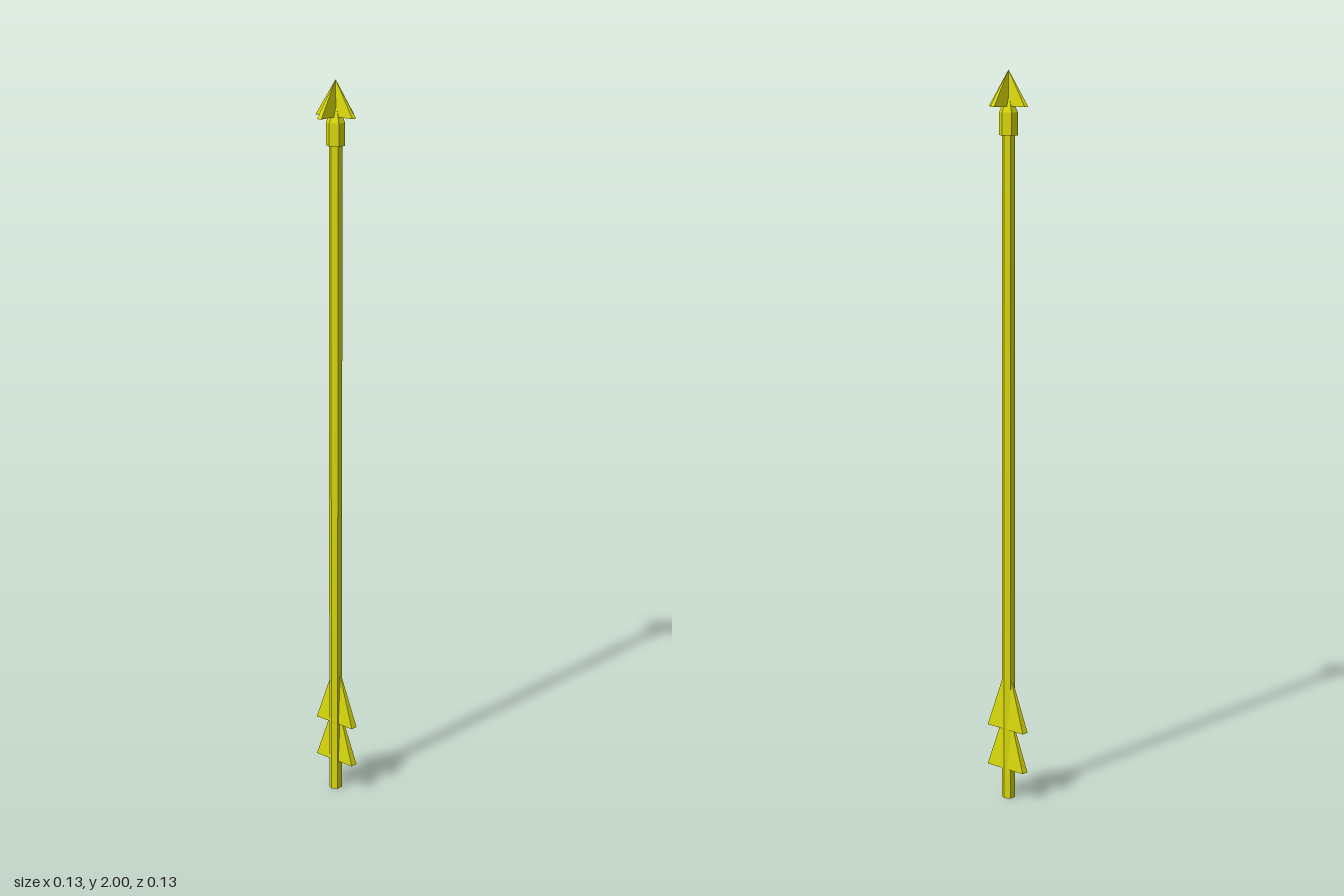
import * as THREE from 'three';

export function createModel() {
  const group = new THREE.Group();
  group.name = 'arrow';
  const yellow = new THREE.MeshStandardMaterial({ color: 0xdada0c });
  yellow.name = 'yellow';
  yellow.flatShading = true;

  const add = (name, geometry, y, z = 0) => {
    const mesh = new THREE.Mesh(geometry, yellow);
    mesh.name = name;
    mesh.position.set(0, y, z);
    group.add(mesh);
  };

  // Thin pyramid standing on a rectangular base
  const blade = (width, height, depth) =>
    new THREE.ConeGeometry(Math.SQRT1_2, 1, 4)
      .rotateY(Math.PI / 4)
      .translate(0, 0.5, 0)
      .scale(width, height, depth);

  // Hexagonal shaft
  add('shaft', new THREE.CylinderGeometry(0.018, 0.018, 1.87, 6), 0.935);

  // Hexagonal socket with a tapered top
  add('socket', new THREE.CylinderGeometry(0.025, 0.025, 0.06, 6), 1.86);
  add('socketTaper', new THREE.CylinderGeometry(0.004, 0.025, 0.05, 6), 1.915);

  // Two crossed blades form the head
  add('headBladeAcross', blade(0.126, 0.095, 0.014), 1.905);
  add('headBladeDeep', blade(0.014, 0.095, 0.128), 1.905);

  // Two overlapping tail feathers
  for (const [name, y] of [['upperFletching', 0.2], ['lowerFletching', 0.085]]) {
    add(name, blade(0.131, 0.19, 0.02), y, -0.004);
  }
  return group;
}
